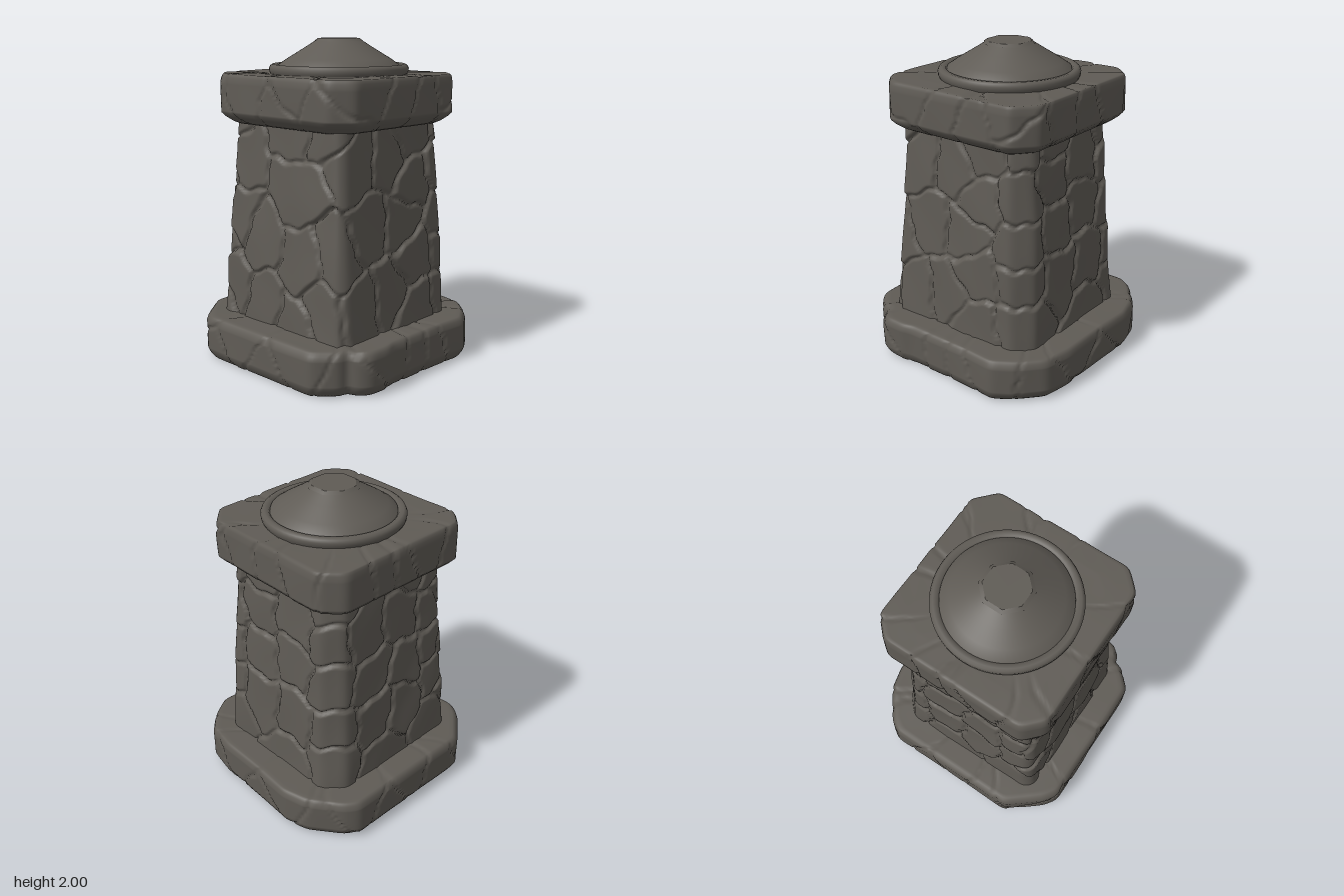
import * as THREE from 'three';

const stone = new THREE.MeshStandardMaterial({ color: 0x5f5b55 });
stone.name = 'dark stone';

// Seeded random numbers
function seeded(seed) {
  return () => {
    seed = (seed * 16807) % 2147483647;
    return seed / 2147483647;
  };
}

// Rounds the corners of a polygon, then spaces count points evenly along it
function outline(points, count) {
  let poly = points.map(([x, z]) => new THREE.Vector2(x, z));
  for (let r = 0; r < 2; r++) {
    const next = [];
    poly.forEach((p, i) => {
      const q = poly[(i + 1) % poly.length];
      const t = Math.min(0.25, 0.018 / p.distanceTo(q));
      next.push(p.clone().lerp(q, t), q.clone().lerp(p, t));
    });
    poly = next;
  }
  const path = new THREE.Path(poly);
  path.closePath();
  path.arcLengthDivisions = 2000;
  return path.getSpacedPoints(count).slice(0, count);
}

// Carved stone surface: seams between cells, uneven tilted stones, gentle ripples
function carve(p, seeds, depth, width) {
  let d1 = 9, d2 = 9, cell = 0;
  const wx = p.x + 0.016 * Math.sin(p.y * 17 + p.z * 9) + 0.006 * Math.sin(p.y * 43);
  const wy = p.y + 0.022 * Math.sin(p.x * 15 - p.z * 13) + 0.008 * Math.sin(p.x * 39 + p.z * 41);
  const wz = p.z + 0.016 * Math.sin(p.y * 15 + p.x * 11) + 0.006 * Math.sin(p.y * 47);
  seeds.forEach((s, i) => {
    const d = Math.hypot(wx - s[0], wy - s[1], wz - s[2]);
    if (d < d1) { d2 = d1; d1 = d; cell = i; } else if (d < d2) d2 = d;
  });
  const seam = 1 - THREE.MathUtils.smoothstep(d2 - d1, 0, width);
  const uneven = 0.35 * Math.sin(cell * 12.9) + 1.6 * Math.sin(cell * 7.3) * (wy - seeds[cell][1]);
  const ripple = 0.14 * Math.sin(p.x * 13 + p.y * 8 + cell) + 0.12 * Math.sin(p.z * 14 - p.y * 11 + cell * 2);
  return depth * (uneven + ripple + 0.25 - 0.9 * seam);
}

// Lofts an outline through [y, scale, lift] levels; lift turns the carving upward on flat tops
function loftStone(name, ring, levels, seeds, depth, width) {
  const n = ring.length, pos = [], index = [];
  const p = new THREE.Vector3();
  levels.forEach(([y, scale, lift = 0]) => {
    ring.forEach((v, i) => {
      const t = ring[(i + 1) % n].clone().sub(ring[(i + n - 1) % n]).normalize();
      p.set(v.x * scale, y, v.y * scale);
      const d = scale < 0.7 ? 0 : carve(p, seeds, depth, width);
      const out = d * (1 - lift);
      pos.push(p.x + t.y * out, y + d * lift, p.z - t.x * out);
    });
  });
  for (let j = 0; j < levels.length - 1; j++) {
    for (let i = 0; i < n; i++) {
      const a = j * n + i, b = j * n + (i + 1) % n;
      index.push(a, a + n, b, b, a + n, b + n);
    }
  }
  const geo = new THREE.BufferGeometry();
  geo.setAttribute('position', new THREE.Float32BufferAttribute(pos, 3));
  geo.setIndex(index);
  geo.computeVertexNormals();
  const mesh = new THREE.Mesh(geo, stone);
  mesh.name = name;
  return mesh;
}

// Levels of a slab with softened edges, closed above and below
function slabLevels(y0, y1, bottomInset, topInset) {
  const h = y1 - y0, levels = [[y0, 0], [y0, 0.6], [y0, 1 - bottomInset]];
  levels.push([y0 + h * 0.05, 1 - bottomInset * 0.65], [y0 + h * 0.14, 1 - bottomInset * 0.25]);
  for (let i = 0; i <= 16; i++) levels.push([y0 + h * (0.22 + 0.62 * i / 16), 1]);
  levels.push([y0 + h * 0.93, 1 - topInset * 0.25], [y0 + h * 0.98, 1 - topInset * 0.6, 0.3]);
  for (let i = 0; i <= 8; i++) levels.push([y1, 1 - topInset - 0.03 * i, 0.6]);
  levels.push([y1, 0.6], [y1, 0]);
  return levels;
}

// Cracked blocks spread round a slab, alternating high and low
function slabSeeds(radius, y, count, seed) {
  const rnd = seeded(seed);
  return Array.from({ length: count }, (_, i) => {
    const a = (i + 0.8 * rnd()) / count * Math.PI * 2;
    return [Math.cos(a) * radius, y + (i % 2 ? 0.12 : -0.12) * rnd(), Math.sin(a) * radius];
  });
}

// Stones of the tapered body: laid front and left faces, scattered others, stacked corners
function bodySeeds() {
  const rnd = seeded(4217);
  const front = [
    [-0.4, 1.27], [0.1, 1.5], [0.33, 1.48], [0.14, 1.12], [-0.4, 0.92], [-0.16, 0.78],
    [0.18, 0.72], [-0.41, 0.5], [-0.13, 0.4], [0.13, 0.3], [0.38, 0.42], [0.46, 0.78],
  ].map(([x, y]) => [x, y, 0.5]);
  const left = [
    [0.35, 1.3], [0.03, 1.3], [-0.15, 1.45], [0.24, 0.9], [-0.03, 0.92], [-0.14, 1.15],
    [0.37, 0.45], [0.08, 0.5], [-0.13, 0.66], [-0.14, 0.35],
  ].map(([z, y]) => [0.5, y, z]);
  const seeds = [...front, ...left];
  for (let row = 0; row < 4; row++) {
    for (const u of [-0.14, 0.14]) {
      const y = 0.4 + row * 0.32 + u;
      seeds.push([-0.5, y + 0.15 * rnd(), u + 0.08 * (rnd() - 0.5)]);
      seeds.push([u + 0.08 * (rnd() - 0.5), y + 0.15 * rnd(), -0.5]);
    }
  }
  for (const [x, z] of [[0.47, -0.46], [-0.47, -0.46], [-0.53, 0.4]]) {
    for (let i = 0; i < 5; i++) seeds.push([x, 0.36 + i * 0.27 + rnd() * 0.1, z]);
  }
  return seeds;
}

export function createModel() {
  const group = new THREE.Group();
  group.name = 'stone pedestal';

  // Broad base with a broken corner
  const base = outline([
    [-0.71, -0.46], [-0.66, -0.54], [-0.47, -0.68], [-0.3, -0.725], [-0.05, -0.705], [0.3, -0.695],
    [0.49, -0.66], [0.62, -0.54], [0.71, -0.4], [0.695, -0.2], [0.69, 0.25], [0.71, 0.32],
    [0.705, 0.46], [0.66, 0.52], [0.585, 0.54], [0.58, 0.6], [0.46, 0.715], [0, 0.72],
    [-0.45, 0.715], [-0.53, 0.66], [-0.71, 0.45],
  ], 260);
  group.add(loftStone('base', base, slabLevels(0, 0.268, 0.05, 0.04), slabSeeds(0.72, 0.14, 19, 77), 0.012, 0.025));

  // Tapered masonry body
  const body = outline([
    [-0.535, -0.41], [-0.42, -0.52], [0.42, -0.52], [0.535, -0.41],
    [0.535, 0.49], [0.49, 0.54], [-0.49, 0.54], [-0.535, 0.49],
  ], 280);
  const bodyLevels = [];
  for (let i = 0; i <= 110; i++) {
    const t = i / 110;
    bodyLevels.push([0.25 + 1.26 * t, 1 - 0.145 * t]);
  }
  group.add(loftStone('body', body, bodyLevels, bodySeeds(), 0.02, 0.035));

  // Overhanging cap
  const cap = outline([
    [-0.565, -0.44], [-0.45, -0.555], [0.43, -0.55], [0.565, -0.43],
    [0.565, 0.45], [0.45, 0.565], [-0.45, 0.565], [-0.565, 0.46],
  ], 240);
  group.add(loftStone('cap', cap, slabLevels(1.485, 1.787, 0.15, 0.025), slabSeeds(0.58, 1.64, 17, 913), 0.013, 0.025));

  // Round collar on the cap
  const collar = new THREE.Mesh(new THREE.LatheGeometry([
    [0.42, 1.78], [0.43, 1.8], [0.432, 1.82], [0.425, 1.836], [0.41, 1.845], [0.385, 1.842], [0.372, 1.825],
  ].map(([x, y]) => new THREE.Vector2(x, y)), 64), stone);
  collar.name = 'collar';
  group.add(collar);

  // Low conical lid
  const lid = new THREE.Mesh(new THREE.LatheGeometry([
    [0.38, 1.82], [0.374, 1.84], [0.32, 1.877], [0.22, 1.938], [0.146, 1.985],
  ].map(([x, y]) => new THREE.Vector2(x, y)), 64), stone);
  lid.name = 'lid';
  group.add(lid);

  // Eight-sided flat top
  const top = new THREE.Mesh(new THREE.CylinderGeometry(0.138, 0.16, 0.016, 8), stone);
  top.name = 'lidTop';
  top.rotation.y = Math.PI / 8;
  top.position.y = 1.992;
  group.add(top);

  return group;
}
